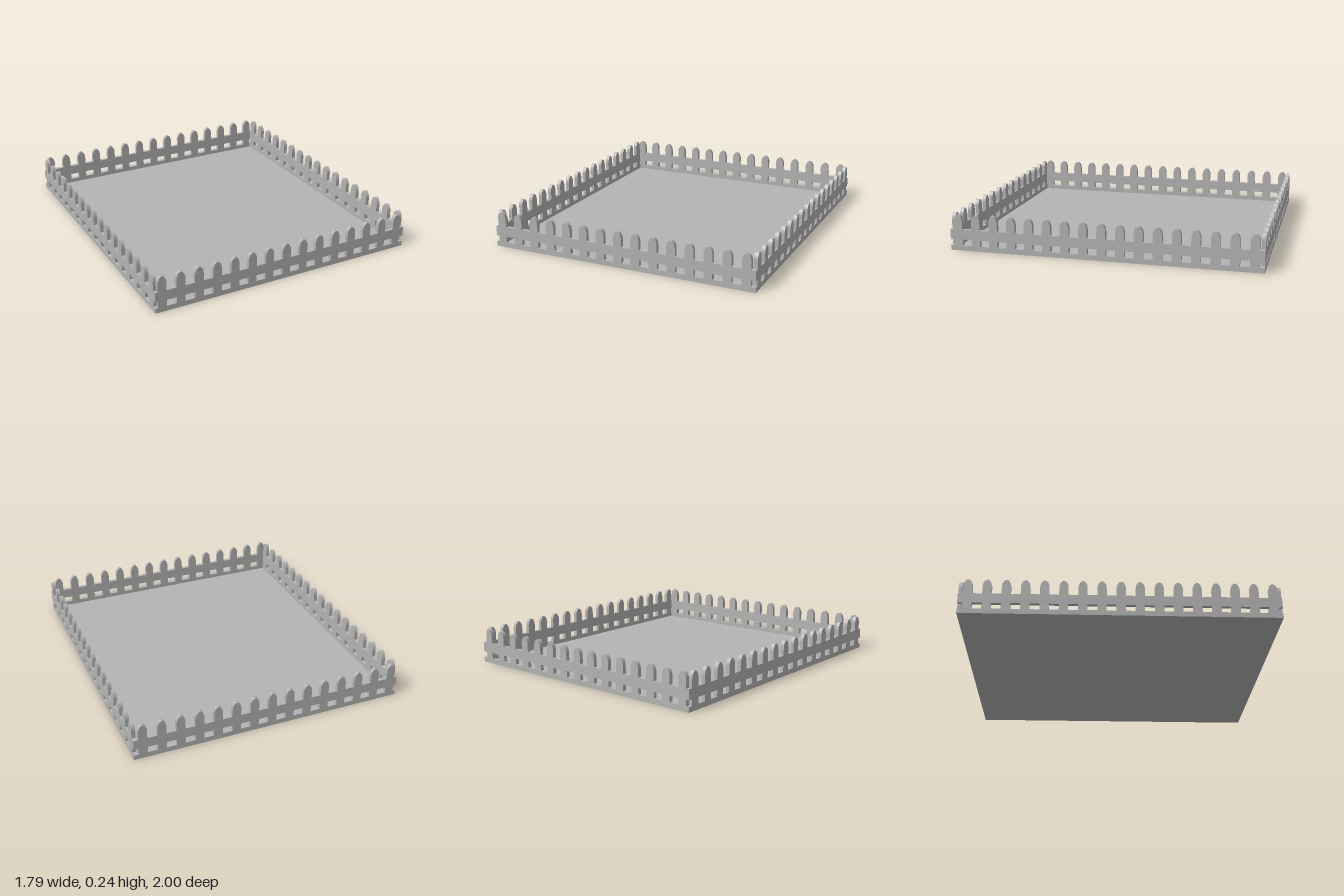
import * as THREE from 'three';

const HALF_X = 0.897, HALF_Z = 1, THICK = 0.025;
const FLOOR = 0.006, SLOT_LOW = 0.033, SLOT_HIGH = 0.073, RAIL = 0.138, SHOULDER = 0.19, TIP = 0.236;
const HALF_PICKET = 0.0285;

// One fence panel: rails and arched pickets in a single outline, with slots between the pickets
function fenceGeometry(half, first, last, count) {
  const centres = Array.from({ length: count }, (_, i) => first + (last - first) * i / (count - 1));
  const w = HALF_PICKET;
  const leftEdge = Math.max(first - w, -half), rightEdge = Math.min(last + w, half);
  const shape = new THREE.Shape();
  shape.moveTo(-half, FLOOR);
  shape.lineTo(half, FLOOR);
  // open notch at the right end
  if (half - rightEdge > 0.004) {
    shape.lineTo(half, SLOT_LOW);
    shape.lineTo(rightEdge, SLOT_LOW);
    shape.lineTo(rightEdge, SLOT_HIGH);
    shape.lineTo(half, SLOT_HIGH);
  }
  shape.lineTo(half, RAIL);
  // pickets from right to left
  for (const c of [...centres].reverse()) {
    shape.lineTo(c + w, RAIL);
    shape.lineTo(c + w, SHOULDER);
    shape.bezierCurveTo(c + w, SHOULDER + 0.022, c + w * 0.55, TIP, c, TIP);
    shape.bezierCurveTo(c - w * 0.55, TIP, c - w, SHOULDER + 0.022, c - w, SHOULDER);
    shape.lineTo(c - w, RAIL);
  }
  shape.lineTo(-half, RAIL);
  // open notch at the left end
  if (leftEdge + half > 0.004) {
    shape.lineTo(-half, SLOT_HIGH);
    shape.lineTo(leftEdge, SLOT_HIGH);
    shape.lineTo(leftEdge, SLOT_LOW);
    shape.lineTo(-half, SLOT_LOW);
  }
  shape.closePath();
  // slots
  for (let i = 0; i < count - 1; i++) {
    const a = centres[i] + w, b = centres[i + 1] - w;
    const slot = new THREE.Path();
    slot.moveTo(a, SLOT_LOW);
    slot.lineTo(a, SLOT_HIGH);
    slot.lineTo(b, SLOT_HIGH);
    slot.lineTo(b, SLOT_LOW);
    slot.closePath();
    shape.holes.push(slot);
  }
  return new THREE.ExtrudeGeometry(shape, { depth: THICK, bevelEnabled: false, curveSegments: 6 });
}

export function createModel() {
  const group = new THREE.Group();
  const grey = new THREE.MeshStandardMaterial({ color: 0xb4b4b4 });
  grey.name = 'grey';

  const add = (name, geometry, x, y, z, turn = 0) => {
    const mesh = new THREE.Mesh(geometry, grey);
    mesh.name = name;
    mesh.position.set(x, y, z);
    mesh.rotation.y = turn;
    group.add(mesh);
  };

  // floor plate
  add('floor', new THREE.BoxGeometry(HALF_X * 2, FLOOR, HALF_Z * 2), 0, FLOOR / 2, 0);

  // front and back fences run the full width
  const wide = fenceGeometry(HALF_X, -0.85, 0.838, 15);
  add('frontFence', wide, 0, 0, HALF_Z - THICK);
  add('backFence', wide, 0, 0, -HALF_Z);

  // side fences fit between them
  const long = fenceGeometry(HALF_Z - THICK, -0.941, 0.9465, 17);
  add('leftFence', long, HALF_X, 0, 0, -Math.PI / 2);
  add('rightFence', long, -HALF_X + THICK, 0, 0, -Math.PI / 2);

  return group;
}
